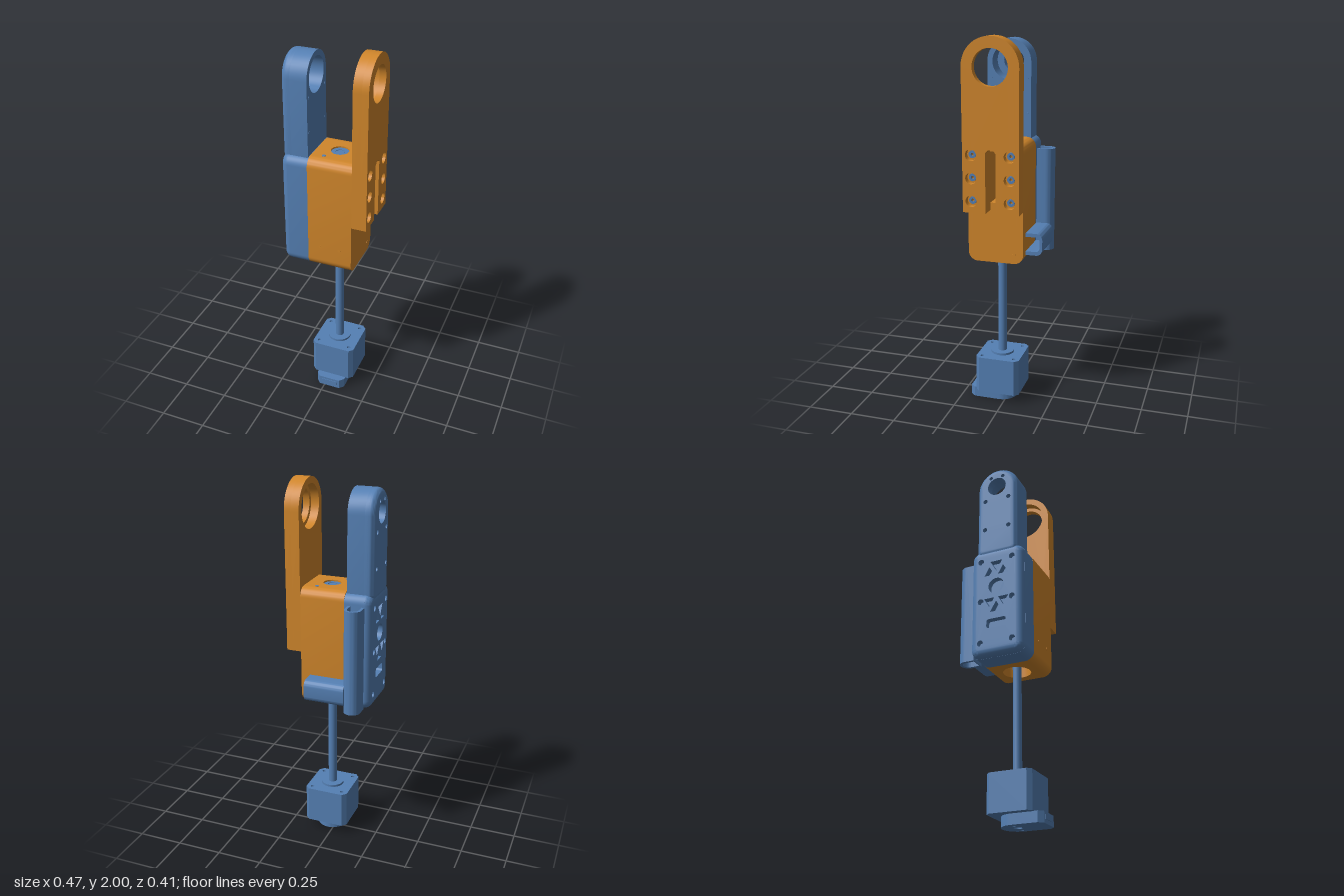
import * as THREE from 'three';
import { mergeGeometries, toCreasedNormals } from 'three/addons/utils/BufferGeometryUtils.js';

const ORANGE = new THREE.MeshStandardMaterial({ color: 0xd0862b });
const BLUE = new THREE.MeshStandardMaterial({ color: 0x5580b4 });
const CX = 0.03, CZ = 0.035, HUB_Y = 1.85; // screw axis and pivot height

// Rectangle outline, counter-clockwise; corner radii: bottom right, top right, top left, bottom left
function rect(x0, y0, x1, y1, radii = [0, 0, 0, 0]) {
  const pts = [], sx = [1, 1, -1, -1], sy = [-1, 1, 1, -1];
  radii.forEach((r, k) => {
    const cx = (sx[k] > 0 ? x1 : x0) - sx[k] * r, cy = (sy[k] > 0 ? y1 : y0) - sy[k] * r;
    const n = r > 0 ? 10 : 0;
    for (let i = 0; i <= n; i++) {
      const a = (k - 1) * Math.PI / 2 + (n ? i / n : 0) * Math.PI / 2;
      pts.push(new THREE.Vector2(cx + r * Math.cos(a), cy + r * Math.sin(a)));
    }
  });
  return pts;
}

function ngon(cx, cy, r, n = 32, turn = 0) {
  return Array.from({ length: n }, (_, i) => {
    const a = turn + i / n * Math.PI * 2;
    return new THREE.Vector2(cx + r * Math.cos(a), cy + r * Math.sin(a));
  });
}

function shapeOf(pts, holes = []) {
  const s = new THREE.Shape(pts);
  s.holes = holes.map(h => new THREE.Path(h));
  return s;
}

function extrude(pts, holes, depth) {
  const g = new THREE.ExtrudeGeometry(shapeOf(pts, holes), { depth, bevelEnabled: false });
  return toCreasedNormals(g, 0.6);
}

// Extrusion along x: outline is (-z, y)
const alongX = (pts, holes, x0, x1) => extrude(pts, holes, x1 - x0).rotateY(Math.PI / 2).translate(x0, 0, 0);
// Extrusion along y: outline is (x, -z)
const alongY = (pts, holes, y0, y1) => extrude(pts, holes, y1 - y0).rotateX(-Math.PI / 2).translate(0, y0, 0);

// Wall through a series of rings, each [points, height]
function wall(rings) {
  const pos = [];
  for (let k = 0; k + 1 < rings.length; k++) {
    const [a, ha] = rings[k], [b, hb] = rings[k + 1];
    a.forEach((p, i) => {
      const j = (i + 1) % a.length;
      pos.push(p.x, p.y, ha, a[j].x, a[j].y, ha, b[j].x, b[j].y, hb);
      pos.push(p.x, p.y, ha, b[j].x, b[j].y, hb, b[i].x, b[i].y, hb);
    });
  }
  return new THREE.BufferGeometry().setAttribute('position', new THREE.Float32BufferAttribute(pos, 3));
}

// Outer shell layer facing -x, with a rounded rim and pierced face; outline is (z, y)
function filletLayer(outline, holes, h0, h1, r) {
  const rings = [];
  for (let i = 0; i <= 8; i++) {
    const a = i / 8 * Math.PI / 2;
    rings.push([outline(r * (1 - Math.cos(a))), h1 - r + r * Math.sin(a)]);
  }
  if (h1 - r > h0 + 1e-6) rings.unshift([outline(0), h0]);
  const flat = new THREE.ShapeGeometry(shapeOf(rings.at(-1)[0], holes)).toNonIndexed().translate(0, 0, h1);
  const cap = new THREE.BufferGeometry().setAttribute('position', flat.getAttribute('position'));
  const parts = [wall(rings), cap, ...holes.map(h => wall([[h, h1], [h, h0]]))];
  return toCreasedNormals(mergeGeometries(parts), 0.6).rotateY(-Math.PI / 2);
}

export function createModel() {
  const root = new THREE.Group();
  const add = (name, geo, mat) => {
    const m = new THREE.Mesh(geo, mat);
    m.name = name;
    root.add(m);
    return m;
  };
  const cyl = (name, r, y0, y1, mat, x = CX, z = CZ) =>
    add(name, new THREE.CylinderGeometry(r, r, y1 - y0, 32).translate(x, (y0 + y1) / 2, z), mat);

  // Gearbox housing: rounded front and back slabs, bored core in between
  add('housingFront', alongX(rect(-0.185, 0.825, -0.135, 1.46, [0, 0, 0.05, 0.05]), [], -0.09, 0.15), ORANGE);
  add('housingBack', alongX(rect(0.065, 0.825, 0.115, 1.46, [0.05, 0.05, 0, 0]), [], -0.09, 0.15), ORANGE);
  const core = rect(-0.09, -0.135, 0.15, 0.065);
  [[0.825, 0.9, 0.075], [0.9, 1.15, 0.047], [1.42, 1.46, 0.047]].forEach(([y0, y1, r]) =>
    add('housingCore', alongY(core, [ngon(CX, -CZ, r)], y0, y1), ORANGE));
  // Core section with a window towards the arm
  const bore = [], edge = Math.asin(0.0275 / 0.047);
  for (let i = 0; i <= 24; i++) {
    const a = -edge - i / 24 * (Math.PI * 2 - 2 * edge);
    bore.push(new THREE.Vector2(CX + 0.047 * Math.cos(a), -CZ + 0.047 * Math.sin(a)));
  }
  const V = (x, y) => new THREE.Vector2(x, y);
  add('housingWindow', alongY([V(0.15, -CZ + 0.0275), V(0.15, 0.065), V(-0.09, 0.065), V(-0.09, -0.135),
    V(0.15, -0.135), V(0.15, -CZ - 0.0275), ...bore], [], 1.15, 1.42), ORANGE);

  // Orange arm: two layers, slotted below, stepped pivot and bolt holes
  const arm = [V(-0.185, 1.11), V(-0.0625, 1.11), V(-0.0625, 1.425), V(-0.0475, 1.44), V(-0.0225, 1.44),
    V(-0.0075, 1.425), V(-0.0075, 1.11), V(0.115, 1.11)];
  for (let i = 0; i <= 32; i++) {
    const a = i / 32 * Math.PI;
    arm.push(V(-CZ + 0.15 * Math.cos(a), HUB_Y + 0.15 * Math.sin(a)));
  }
  const bolts = [];
  for (const y of [1.17, 1.29, 1.41]) for (const u of [-0.14, 0.065]) bolts.push([u, y]);
  [['armInner', 0.15, 0.195, 0.115, 0.015], ['armOuter', 0.195, 0.23, 0.093, 0.03]].forEach(([n, x0, x1, hub, r]) =>
    add(n, alongX(arm, [ngon(-CZ, HUB_Y, hub, 48), ...bolts.map(([u, y]) => ngon(u, y, r, 20))], x0, x1), ORANGE));
  bolts.forEach(([u, y]) => add('armBolt', alongX(ngon(u, y, 0.02, 20), [ngon(u, y, 0.009, 6)], 0.19, 0.203), BLUE));

  // Blue side cover
  const cover = d => rect(-0.115 + d, 0.825 + d, 0.185 - d, 1.455 - d, Array(4).fill(0.05 - d));
  const pockets = [ngon(CZ, 1.22, 0.045, 24)];
  for (const s of [1, -1]) {
    pockets.push(ngon(CZ - 0.04, 1.22 + s * 0.085, 0.034, 3, s * Math.PI / 2),
      ngon(CZ + 0.04, 1.22 + s * 0.085, 0.034, 3, s * Math.PI / 2),
      ngon(CZ, 1.22 + s * 0.13, 0.04, 3, -s * Math.PI / 2));
  }
  pockets.push(rect(CZ - 0.055, 0.98, CZ + 0.055, 1.03, [0.012, 0.012, 0.012, 0.012]));
  for (const y of [0.9, 1.14, 1.38]) for (const s of [-1, 1]) pockets.push(ngon(CZ + s * 0.09, y, 0.017, 16));
  const coverBase = cover(0).map(p => V(-p.x, p.y)).reverse();
  add('sideCover', alongX(coverBase, [], -0.2, -0.09), BLUE);
  add('sideCoverFace', filletLayer(cover, pockets, 0.195, 0.235, 0.04), BLUE);

  // Blue arm with stepped pivot hole and screw recesses
  const fork = d => rect(CZ - 0.12 + d, 1.41 + d, CZ + 0.12 - d, HUB_Y + 0.12 - d, [0.04 - d, 0.12 - d, 0.12 - d, 0.04 - d]);
  const forkHoles = [ngon(CZ, HUB_Y, 0.055, 40)];
  for (const s of [-1, 1]) {
    for (const y of [1.58, 1.765]) forkHoles.push(ngon(CZ + s * 0.07, y, 0.013, 16));
    forkHoles.push(ngon(CZ + s * 0.036, HUB_Y + 0.062, 0.011, 16));
  }
  const forkBase = fork(0).map(p => V(-p.x, p.y)).reverse();
  const seat = ngon(-CZ, HUB_Y, 0.055, 40);
  add('blueArmInner', alongX(forkBase, [ngon(-CZ, HUB_Y, 0.092, 40)], -0.185, -0.095), BLUE);
  add('blueArmStep', alongX(forkBase, [seat], -0.202, -0.185), BLUE);
  add('blueArmFace', filletLayer(fork, forkHoles, 0.2, 0.235, 0.033), BLUE);
  for (const y of [1.58, 1.765]) for (const s of [-1, 1])
    add('blueArmPin', alongX(ngon(-CZ + s * 0.1, y, 0.007, 12), [], -0.1, -0.093), BLUE);

  // Cable duct behind the cover, with a branch towards the arm
  add('cableDuct', alongY(rect(-0.2, 0.108, -0.11, 0.205, [0, 0.045, 0.045, 0]),
    [rect(-0.185, 0.113, -0.125, 0.19, [0, 0.03, 0.03, 0])], 0.83, 1.395), BLUE);
  add('cableBranch', alongX(rect(0.108, 0.865, 0.205, 0.985, [0.035, 0.035, 0, 0]),
    [rect(0.115, 0.885, 0.19, 0.965, [0.022, 0.022, 0, 0])], -0.12, 0.1), BLUE);

  // Screw, top bearing and motor
  cyl('leadScrew', 0.0235, 0.26, 1.45, BLUE);
  add('topBearing', alongY(ngon(CX, -CZ, 0.047), [ngon(CX, -CZ, 0.025)], 1.425, 1.452), BLUE);
  const motor = [], c = 0.1225, k = 0.022;
  [[c, -c + k], [c, c - k], [c - k, c], [-c + k, c], [-c, c - k], [-c, -c + k], [-c + k, -c], [c - k, -c]]
    .forEach(([x, v]) => motor.push(V(CX + x, v - CZ)));
  const screws = [];
  for (const sx of [-1, 1]) for (const sz of [-1, 1]) screws.push(ngon(CX + sx * 0.09, -CZ + sz * 0.09, 0.01, 12));
  add('motorBody', alongY(motor, [], 0.055, 0.25), BLUE);
  add('motorTop', alongY(motor, screws, 0.25, 0.26), BLUE);
  cyl('motorBoss', 0.063, 0.26, 0.272, BLUE);

  // Encoder below the motor: round back, chamfered front
  const enc = [V(CX - 0.083, -0.175), V(CX - 0.06, -0.2), V(CX + 0.06, -0.2), V(CX + 0.083, -0.175)];
  for (let i = 0; i <= 24; i++) {
    const a = i / 24 * Math.PI;
    enc.push(V(CX + 0.083 * Math.cos(a), -CZ + 0.083 * Math.sin(a)));
  }
  add('encoder', alongY(enc, [], 0.008, 0.057), BLUE);
  add('encoderBase', alongY(enc, [ngon(CX, -CZ, 0.022), ngon(CX - 0.05, -CZ, 0.009, 12), ngon(CX + 0.05, -CZ, 0.009, 12)], 0, 0.008), BLUE);
  add('encoderSocket', new THREE.BoxGeometry(0.09, 0.022, 0.006).translate(CX, 0.032, 0.2), BLUE);

  // Small pins in the housing
  cyl('topPin', 0.01, 1.44, 1.4615, BLUE, 0.083, -0.05);
  cyl('topPin', 0.01, 1.44, 1.4615, BLUE, -0.025, 0.118);
  for (const x of [-0.025, 0.083])
    add('frontPin', new THREE.CylinderGeometry(0.008, 0.008, 0.01, 16).rotateX(Math.PI / 2).translate(x, 0.955, 0.1815), ORANGE);
  add('sidePin', alongX(ngon(0.065, 0.87, 0.011, 16), [], 0.145, 0.1515), ORANGE);
  return root;
}
